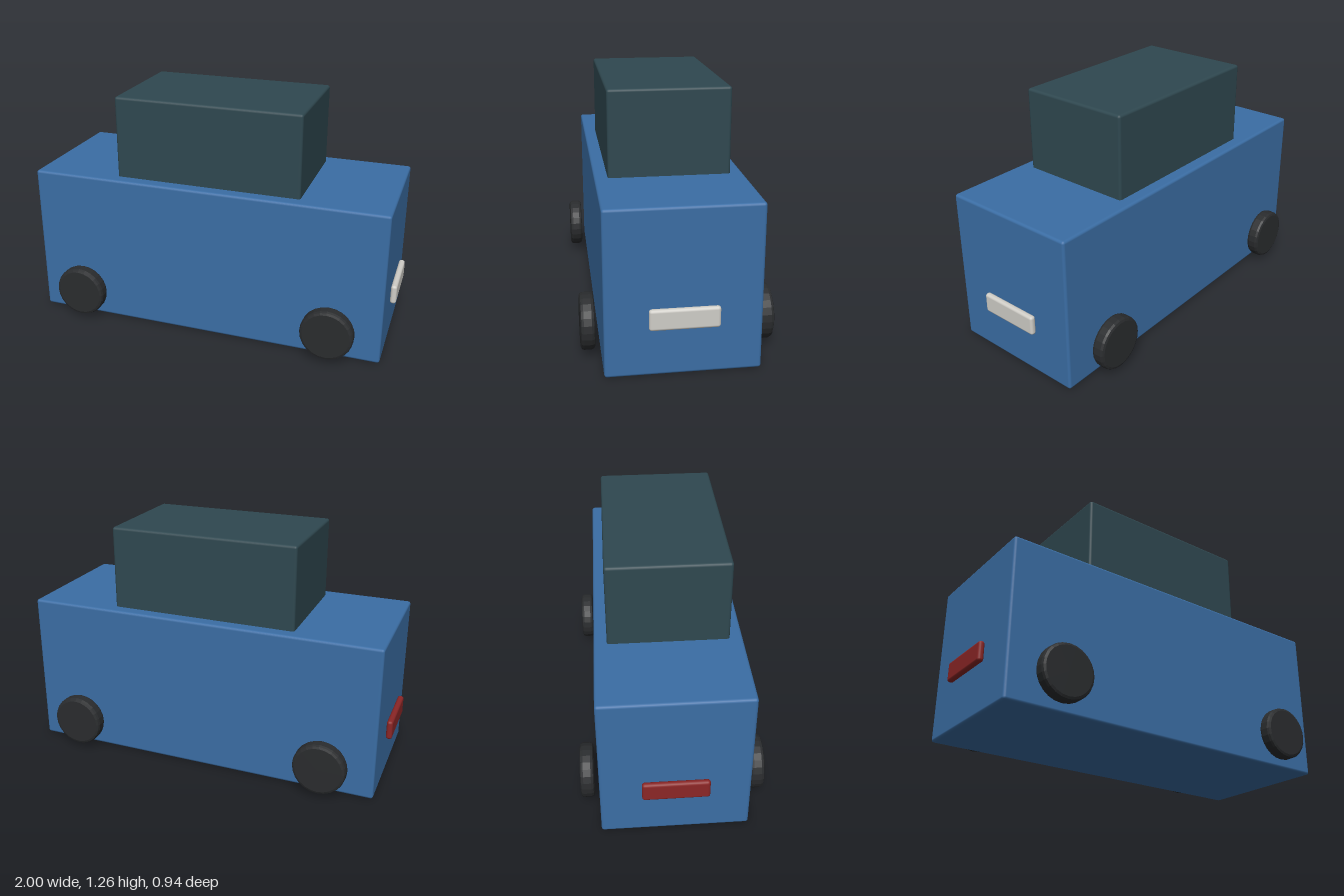
import * as THREE from 'three';
import { RoundedBoxGeometry } from 'three/addons/geometries/RoundedBoxGeometry.js';

const paint = (color) => new THREE.MeshStandardMaterial({ color });

// Box with softly bevelled edges
function block(name, size, position, bevel, material) {
  const mesh = new THREE.Mesh(new RoundedBoxGeometry(...size, 2, bevel), material);
  mesh.name = name;
  mesh.position.set(...position);
  return mesh;
}

// Faceted disc with bevelled rims, axis along z
function wheelGeometry(radius, width, bevel, sides) {
  const h = width / 2;
  const b = bevel * 0.3;
  const profile = [
    [0, -h], [radius - bevel, -h], [radius - b, -h + b], [radius, -h + bevel],
    [radius, h - bevel], [radius - b, h - b], [radius - bevel, h], [0, h],
  ].map(([x, y]) => new THREE.Vector2(x, y));
  return new THREE.LatheGeometry(profile, sides).rotateX(Math.PI / 2);
}

export function createModel() {
  const car = new THREE.Group();
  car.name = 'car';

  // Body and cabin
  car.add(block('body', [1.924, 0.824, 0.742], [0, 0.414, 0], 0.014, paint(0x3b6ea5)));
  car.add(block('cabin', [1, 0.45, 0.61], [0, 1.037, 0], 0.014, paint(0x2f4850)));

  // Light bars at the two ends
  const lightSize = [0.032, 0.104, 0.332];
  car.add(block('headlight', lightSize, [0.982, 0.297, 0], 0.014, paint(0xd0cec8)));
  car.add(block('tailLight', lightSize, [-0.984, 0.297, 0], 0.014, paint(0x8c2626)));

  // Four wheels standing clear of the sides
  const tyre = paint(0x2a2c2e);
  tyre.flatShading = true;
  const disc = wheelGeometry(0.139, 0.07, 0.016, 24);
  for (const x of [-0.695, 0.695]) {
    for (const z of [-0.434, 0.434]) {
      const wheel = new THREE.Mesh(disc, tyre);
      wheel.name = (x > 0 ? 'front' : 'rear') + 'Wheel' + (z > 0 ? 'Near' : 'Far');
      wheel.position.set(x, 0.168, z);
      car.add(wheel);
    }
  }
  return car;
}
